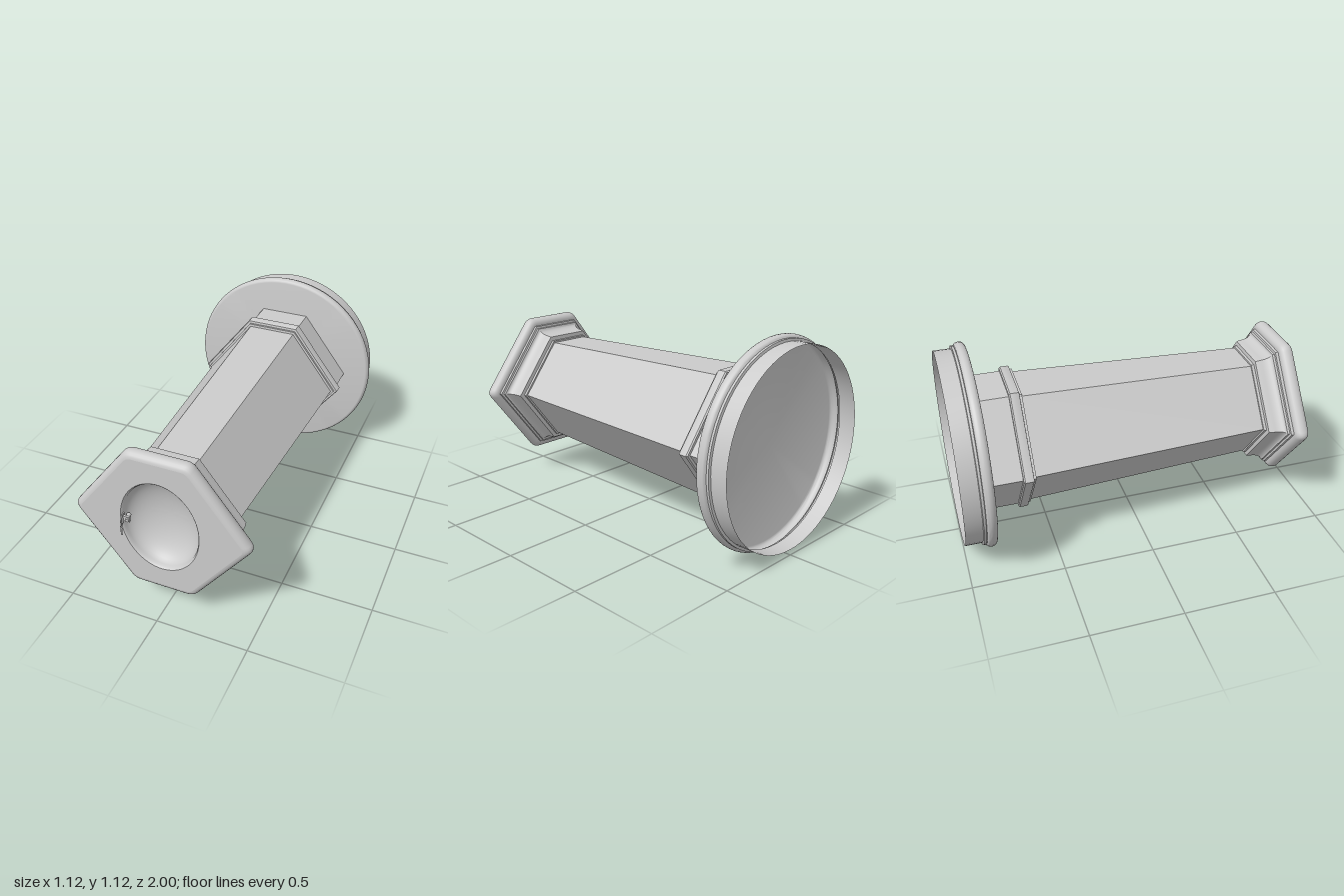
import * as THREE from 'three';
import { toCreasedNormals } from 'three/addons/utils/BufferGeometryUtils.js';

const AXIS_Y = 0.56;
const grey = new THREE.MeshStandardMaterial({ color: 0xcccccc, side: THREE.DoubleSide });

// Six-sided section of half-width 1, with optionally rounded corners
function hexSection(round = 0) {
  const corners = [[1, 0], [0.345, 0.855], [-0.345, 0.855], [-1, 0], [-0.345, -0.855], [0.345, -0.855]]
    .map(([x, y]) => new THREE.Vector2(x, y));
  if (!round) return corners;
  return corners.flatMap((c, i) => {
    const toward = (o) => c.clone().add(o.clone().sub(c).setLength(round));
    return new THREE.QuadraticBezierCurve(toward(corners[(i + 5) % 6]), c, toward(corners[(i + 1) % 6])).getPoints(4);
  });
}

// Surface through scaled copies of a section; profile is [half-width, z] with z rising
function loft(section, profile) {
  const n = section.length, pos = [], index = [];
  for (const [r, z] of profile) for (const p of section) pos.push(p.x * r, p.y * r, z);
  for (let i = 0; i < profile.length - 1; i++) {
    for (let j = 0; j < n; j++) {
      const a = i * n + j, b = i * n + (j + 1) % n;
      index.push(a, b, b + n, a, b + n, a + n);
    }
  }
  const g = new THREE.BufferGeometry();
  g.setAttribute('position', new THREE.Float32BufferAttribute(pos, 3));
  g.setIndex(index);
  return toCreasedNormals(g, 0.6);
}

// Turned surface about the z axis; profile is [radius, z]
function turned(profile) {
  const g = new THREE.LatheGeometry(profile.map(([r, z]) => new THREE.Vector2(r, z)), 72);
  return toCreasedNormals(g.rotateX(Math.PI / 2), 0.6);
}

// Half-round edge from z0 up to z1, bulging out to radius r
function halfRound(r, z0, z1, bulge, steps = 10) {
  return Array.from({ length: steps + 1 }, (_, i) => {
    const a = -Math.PI / 2 + Math.PI * i / steps;
    return [r - bulge * (1 - Math.cos(a)), (z0 + z1) / 2 + (z1 - z0) / 2 * Math.sin(a)];
  });
}

export function createModel() {
  const model = new THREE.Group();
  model.name = 'pedestalFountain';
  const body = new THREE.Group();
  body.name = 'body';
  body.position.y = AXIS_Y;
  model.add(body);
  const add = (name, geometry, parent = body) => {
    const mesh = new THREE.Mesh(geometry, grey);
    mesh.name = name;
    parent.add(mesh);
    return mesh;
  };

  // Round base flange: front face, half-round lip, step and open skirt
  add('baseFlange', turned([
    [0.528, -1], [0.528, -0.908], [0.542, -0.906], [0.542, -0.893],
    ...halfRound(0.558, -0.89, -0.835, 0.02), [0, -0.835],
  ]));

  const hex = hexSection();
  // Straight plinth and collar band
  add('plinth', loft(hex, [[0.405, -0.835], [0.405, -0.67]]));
  add('collarBand', loft(hex, [
    [0.4, -0.672], [0.422, -0.672], [0.429, -0.665], [0.429, -0.625], [0.424, -0.618],
    [0.408, -0.616], [0.408, -0.604], [0.38, -0.602],
  ]));

  // Tapered shaft
  add('shaft', loft(hex, [[0.392, -0.61], [0.333, 0.705]]));

  // Capital: small bead, cove and stepped fillets
  const cove = Array.from({ length: 9 }, (_, i) => {
    const a = (i / 8) * Math.PI / 2;
    return [0.417 - 0.04 * Math.cos(a), 0.735 + 0.067 * Math.sin(a)];
  });
  add('capital', loft(hex, [
    [0.33, 0.692], [0.345, 0.692], [0.345, 0.708], [0.372, 0.71], ...cove,
    [0.417, 0.815], [0.432, 0.817], [0.432, 0.836],
  ]));

  // Basin rim with rounded edge and corners
  const rimSection = hexSection(0.06);
  const rimEdge = halfRound(0.482, 0.833, 0.912, 0.04);
  add('basinRim', loft(rimSection, [[0.4, 0.833], ...rimEdge]));

  // Basin top with oval opening
  const bowlX = 0.212, bowlY = 0.268;
  const top = new THREE.Shape(rimSection.map((p) => p.clone().multiplyScalar(0.442)));
  top.holes.push(new THREE.Path().absellipse(0, 0, bowlX, bowlY, 0, Math.PI * 2, true));
  add('basinTop', new THREE.ShapeGeometry(top, 36).translate(0, 0, 0.912));

  // Oval bowl with softened lip
  const bowlProfile = [[1, 0], [0.985, -0.003], [0.965, -0.012]];
  for (let i = 1; i <= 14; i++) {
    const a = (i / 14) * Math.PI / 2;
    bowlProfile.push([0.965 * Math.cos(a), -0.012 - 0.115 * Math.sin(a)]);
  }
  bowlProfile[bowlProfile.length - 1][0] = 0;
  const bowl = turned(bowlProfile).scale(bowlX, bowlY, 1).translate(0, 0, 0.912);
  bowl.computeVertexNormals();
  add('bowl', toCreasedNormals(bowl, 0.6));

  // Spout: curved guard plate and a small nozzle behind it
  const spout = new THREE.Group();
  spout.name = 'spout';
  body.add(spout);
  const outer = new THREE.QuadraticBezierCurve(
    new THREE.Vector2(-0.205, 0.895), new THREE.Vector2(-0.2, 0.955), new THREE.Vector2(-0.161, 1)).getPoints(10);
  const inner = outer.map((p, i) => new THREE.Vector2(p.x + 0.006, p.y - 0.004 * i / 10)).reverse();
  const guard = new THREE.ExtrudeGeometry(new THREE.Shape([...outer, ...inner]), { depth: 0.05, bevelEnabled: false });
  guard.rotateX(Math.PI / 2).translate(0, 0.025, 0);
  add('guardPlate', toCreasedNormals(guard, 0.6), spout);
  const nozzle = add('nozzle', new THREE.CylinderGeometry(0.009, 0.012, 0.05, 16), spout);
  nozzle.position.set(-0.178, 0, 0.9);
  nozzle.rotation.set(Math.PI / 2, 0, -0.3);
  const bracket = add('bracket', new THREE.BoxGeometry(0.04, 0.03, 0.012), spout);
  bracket.position.set(-0.182, 0, 0.908);

  return model;
}
